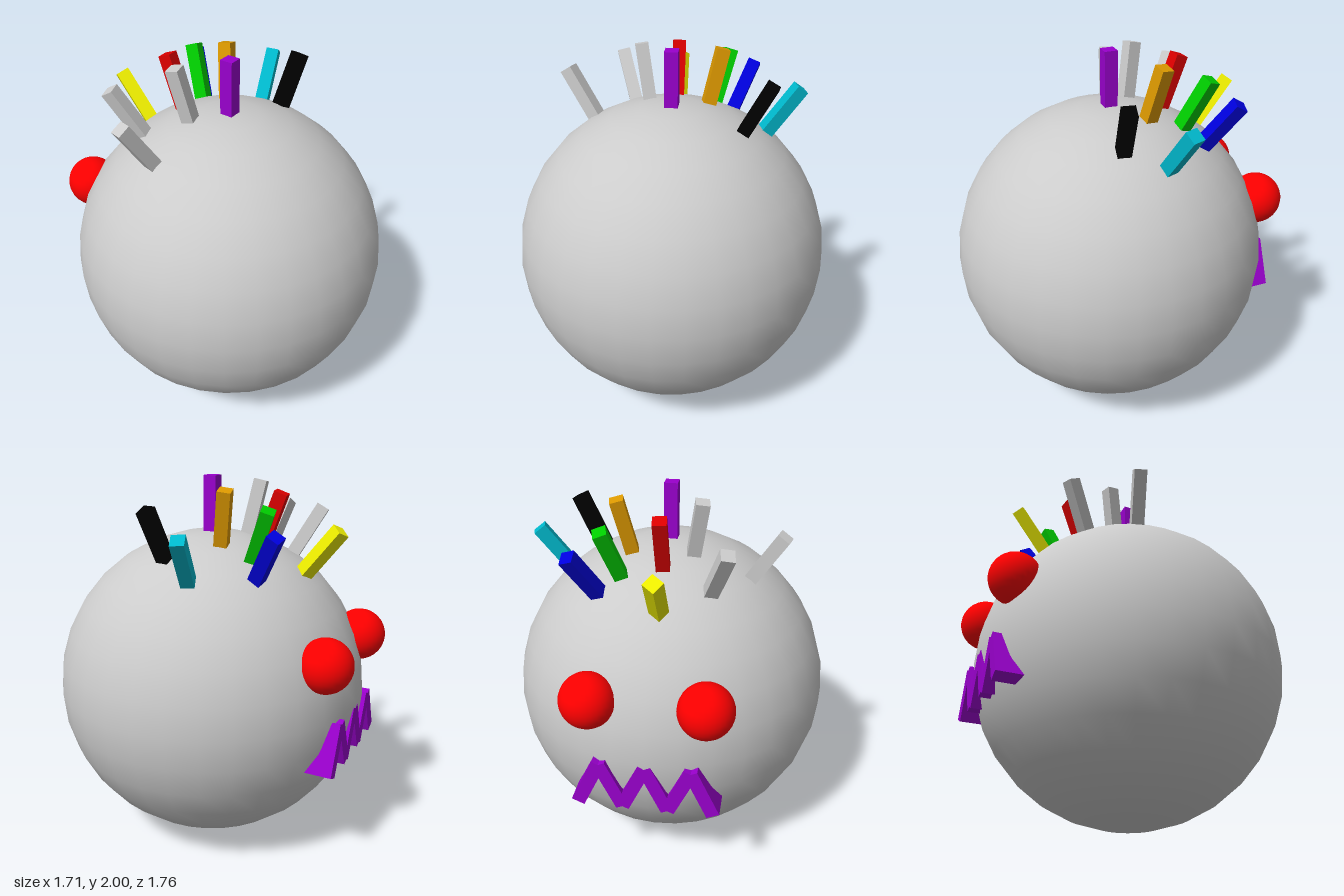
import * as THREE from 'three';

const CENTER = new THREE.Vector3(0, 0.856, 0.023);
const RADIUS = 0.855;
const mat = (color) => new THREE.MeshStandardMaterial({ color });

export function createModel() {
  const group = new THREE.Group();
  const add = (name, geometry, material, position) => {
    const mesh = new THREE.Mesh(geometry, material);
    mesh.name = name;
    mesh.position.copy(position);
    group.add(mesh);
    return mesh;
  };

  const grey = mat(0xcccccc);
  const red = mat(0xff0000);
  const purple = mat(0x9900cc);

  // Round body
  add('body', new THREE.SphereGeometry(RADIUS, 32, 16), grey, CENTER);

  // Eyes, half sunk into the body
  const eyeGeometry = new THREE.SphereGeometry(0.14, 32, 16);
  for (const side of [-1, 1]) {
    add(side > 0 ? 'leftEye' : 'rightEye', eyeGeometry, red, new THREE.Vector3(side * 0.287, 1.15, -0.743));
  }

  // Zigzag mouth: six slanted bars sharing one flat outer plane
  const step = 0.115, low = 0.58, high = 0.83, depth = 0.2;
  const barGeometry = new THREE.BoxGeometry(0.07, Math.hypot(step, high - low), depth);
  const slant = Math.atan2(step, high - low);
  for (let i = 0; i < 6; i++) {
    const x = (i - 2.5) * step;
    const bar = add('mouthBar', barGeometry, purple, new THREE.Vector3(x, (low + high) / 2, -0.83 + depth / 2));
    bar.rotation.z = i % 2 ? slant : -slant;
  }

  // Hair: square bars pointing out from the body centre [tip x, y, z, twist in degrees, material]
  const hairs = [
    [0, 2.0, 0.023, 0, purple],
    [0.65, 1.76, -0.137, -18, mat(0x00b8cc)],
    [0.51, 1.87, 0.12, 10, mat(0x000000)],
    [0.41, 1.78, -0.515, 0, mat(0x0000dd)],
    [0.273, 1.87, -0.415, -18, mat(0x00cc00)],
    [0.245, 1.955, -0.173, -13, mat(0xdd9900)],
    [-0.005, 1.93, -0.372, -8, mat(0xdd0000)],
    [-0.03, 1.75, -0.68, 42, mat(0xeeee00)],
    [-0.59, 1.815, -0.18, 15, grey],
    [-0.34, 1.83, -0.485, -10, grey],
    [-0.185, 1.97, -0.18, -10, grey],
  ];
  const inner = 0.78, tip = 1.144;
  const hairGeometry = new THREE.BoxGeometry(0.07, tip - inner, 0.07);
  for (const [x, y, z, twist, material] of hairs) {
    const up = new THREE.Vector3(x, y, z).sub(CENTER).normalize();
    const a = THREE.MathUtils.degToRad(twist);
    const right = new THREE.Vector3(Math.cos(a), 0, Math.sin(a));
    right.addScaledVector(up, -right.dot(up)).normalize();
    const front = new THREE.Vector3().crossVectors(right, up);
    const hair = add('hair', hairGeometry, material, CENTER.clone().addScaledVector(up, (inner + tip) / 2));
    hair.quaternion.setFromRotationMatrix(new THREE.Matrix4().makeBasis(right, up, front));
  }

  return group;
}
